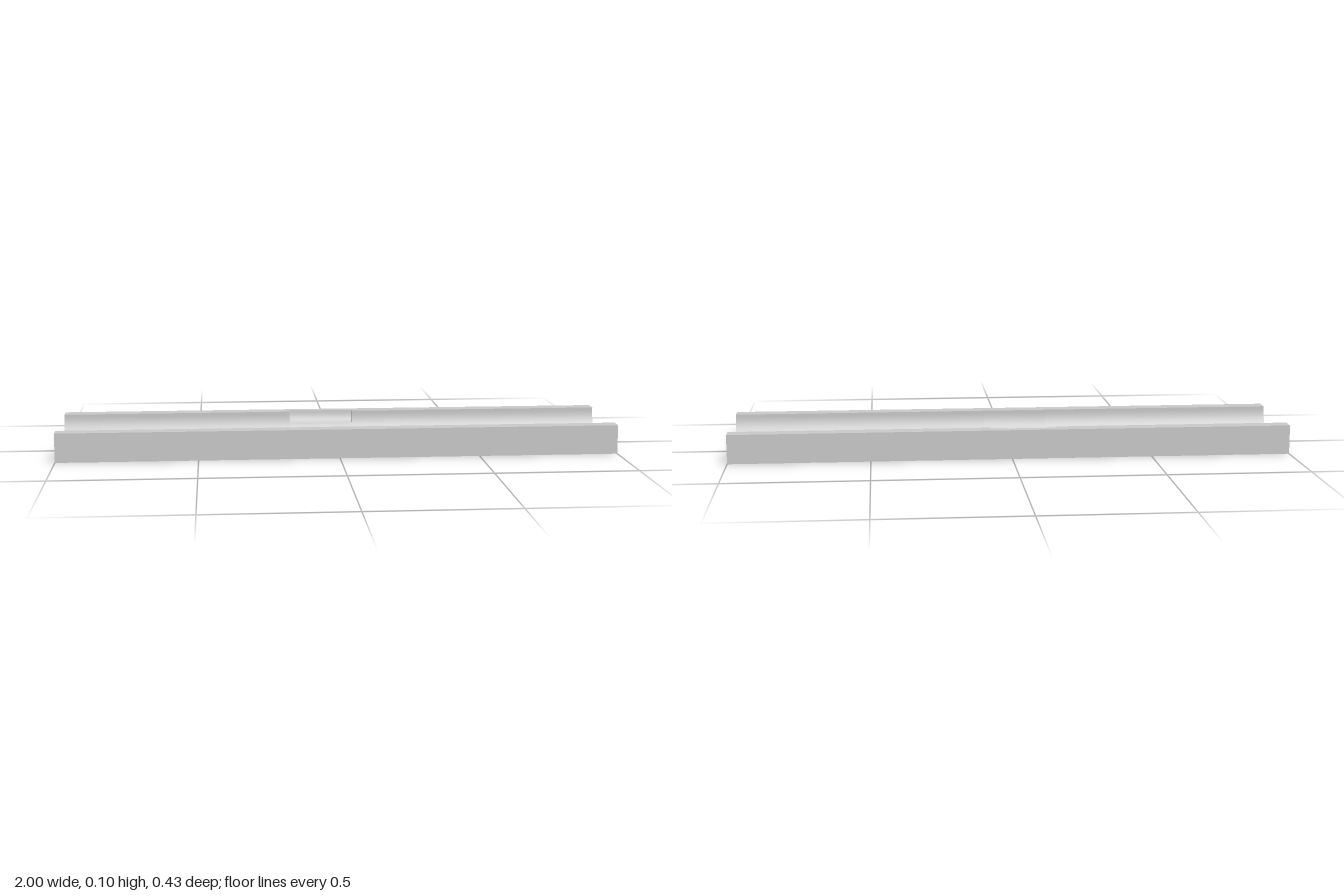
import * as THREE from 'three';

const HALF = 1, TOP = 0.104, OUT = 0.213, IN = 0.16, FLAT = 0.075, R = IN - FLAT, FLOOR = 0.009;
const NOTCH = [-0.16, 0.075], NOTCH_ANGLE = 1.13, NOTCH_Z = -0.18;

const material = new THREE.MeshStandardMaterial({ color: 0xcccccc, side: THREE.DoubleSide });

// Arc of the rear channel wall, from angle a (0 = floor) to b, as [z, y] points
function arc(a, b, n) {
  return Array.from({ length: n + 1 }, (_, i) => {
    const t = a + (b - a) * i / n;
    return [-FLAT - R * Math.sin(t), FLOOR + R - R * Math.cos(t)];
  });
}

// Smooth sheet: a [z, y] profile swept along x
function sheet(name, profile, x0 = -HALF, x1 = HALF) {
  const pos = [], index = [];
  profile.forEach(([z, y], i) => {
    pos.push(x0, y, z, x1, y, z);
    if (i) {
      const a = 2 * i - 2;
      index.push(a, a + 1, a + 2, a + 1, a + 3, a + 2);
    }
  });
  const geo = new THREE.BufferGeometry();
  geo.setAttribute('position', new THREE.Float32BufferAttribute(pos, 3));
  geo.setIndex(index);
  geo.computeVertexNormals();
  const mesh = new THREE.Mesh(geo, material);
  mesh.name = name;
  return mesh;
}

// Flat face across the length, outlined by [z, y] points
function crossFace(name, outline, x, angle = -Math.PI / 2) {
  const geo = new THREE.ShapeGeometry(new THREE.Shape(outline.map(p => new THREE.Vector2(...p))));
  const mesh = new THREE.Mesh(geo, material);
  mesh.name = name;
  mesh.rotation.y = angle;
  mesh.position.x = x;
  return mesh;
}

export function createModel() {
  const group = new THREE.Group();
  group.name = 'channelTray';

  const rearHalf = [...arc(0, Math.PI / 2, 24), [-IN, TOP]];
  const frontHalf = rearHalf.map(([z, y]) => [-z, y]).reverse();
  const channel = [...frontHalf, ...rearHalf];

  // Rear wall profile with the finger notch scooped out of its upper edge
  const lower = arc(0, NOTCH_ANGLE, 16);
  const [sz, sy] = lower[lower.length - 1];
  const scoop = new THREE.QuadraticBezierCurve(
    new THREE.Vector2(sz, sy), new THREE.Vector2(NOTCH_Z + 0.001, sy + 0.008), new THREE.Vector2(NOTCH_Z, TOP)
  ).getPoints(10).map(p => [p.x, p.y]);

  // Outer walls and front ledge; the underside stays open
  group.add(
    sheet('frontWall', [[OUT, 0], [OUT, TOP]]),
    sheet('backWall', [[-OUT, TOP], [-OUT, 0]]),
    sheet('frontLedge', [[OUT, TOP], [IN, TOP]])
  );

  // Channel and back ledge, either side of the notch
  for (const [x0, x1] of [[-HALF, NOTCH[0]], [NOTCH[1], HALF]]) {
    group.add(
      sheet('channel', channel, x0, x1),
      sheet('backLedge', [[-IN, TOP], [-OUT, TOP]], x0, x1)
    );
  }

  // Notched stretch
  group.add(
    sheet('channelAtNotch', [...frontHalf, ...lower], ...NOTCH),
    sheet('notchScoop', scoop, ...NOTCH),
    sheet('backLedgeAtNotch', [[NOTCH_Z, TOP], [-OUT, TOP]], ...NOTCH)
  );
  const notchSide = [...arc(NOTCH_ANGLE, Math.PI / 2, 8), [-IN, TOP], ...scoop.slice(1).reverse()];
  NOTCH.forEach(x => group.add(crossFace('notchSide', notchSide, x)));

  // End faces
  const end = [[OUT, 0], [OUT, TOP], ...channel, [-OUT, TOP], [-OUT, 0]];
  group.add(
    crossFace('rightEnd', end, -HALF, -Math.PI / 2),
    crossFace('leftEnd', end, HALF, Math.PI / 2)
  );
  return group;
}
